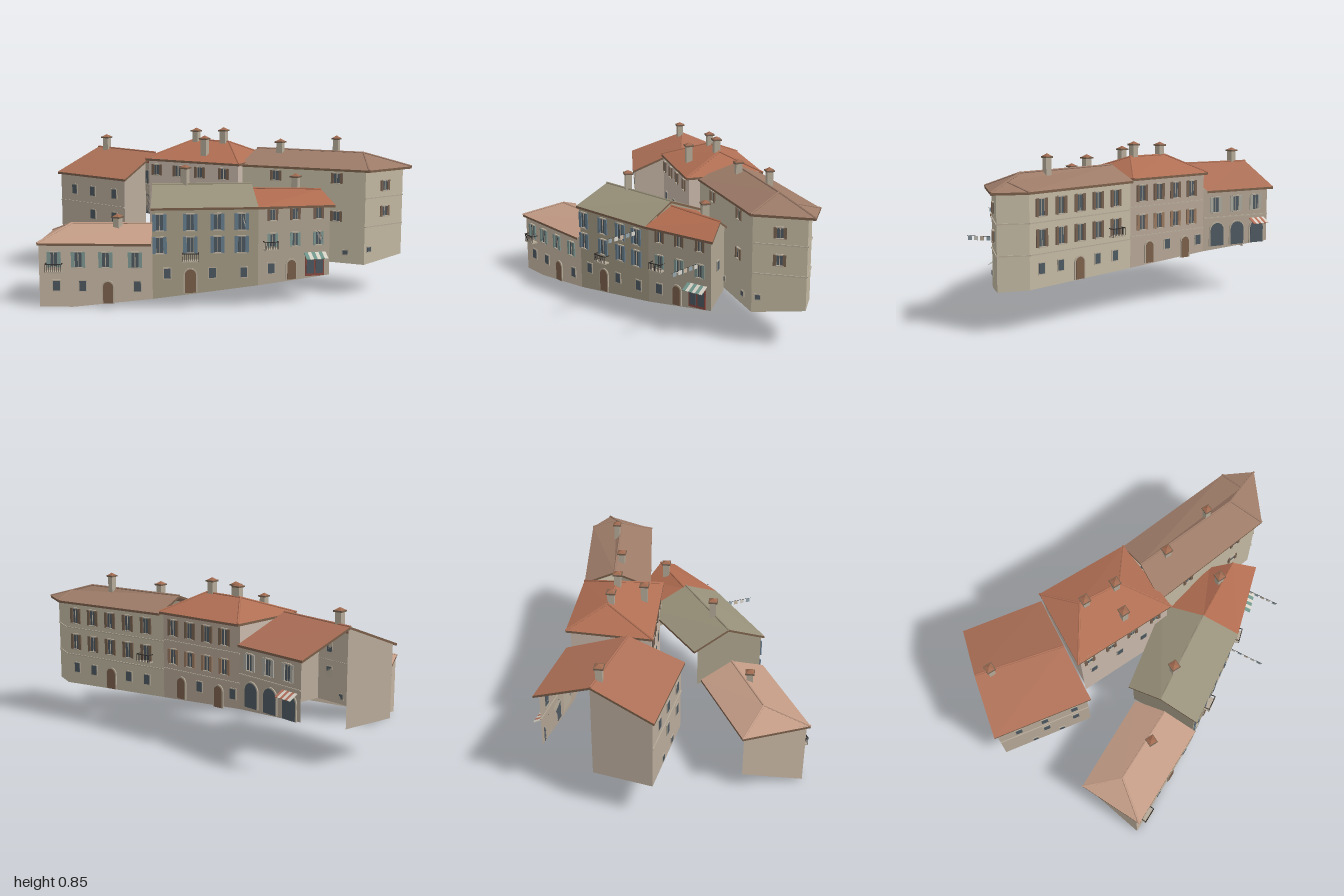
import * as THREE from 'three';

const mats = {};
const mat = (c) => (mats[c] ??= new THREE.MeshStandardMaterial({ color: c, side: THREE.DoubleSide, flatShading: true }));
const WOOD = 0x7a5f4a, GLASS = 0x4d5860, STONE = 0xb5aa98, IRON = 0x33302e, TEAL = 0x7f9792, BLUE = 0x667b8c, BROWN = 0x75604f;

function add(parent, name, geo, color, x = 0, y = 0, z = 0) {
  const m = new THREE.Mesh(geo, mat(color));
  m.name = name;
  m.position.set(x, y, z);
  parent.add(m);
  return m;
}
const box = (parent, name, color, w, h, d, x, y, z) => add(parent, name, new THREE.BoxGeometry(w, h, d), color, x, y, z);

// Triangulates flat polygons given as lists of [x, y, z]
function polyGeo(polys) {
  const pos = [];
  for (const p of polys) for (let i = 1; i < p.length - 1; i++) pos.push(...p[0], ...p[i], ...p[i + 1]);
  const g = new THREE.BufferGeometry();
  g.setAttribute('position', new THREE.Float32BufferAttribute(pos, 3));
  g.computeVertexNormals();
  return g;
}

// Wall strip along points [x, z, bottom, top], outside on the right of travel
function walls(parent, name, color, path) {
  const quads = path.slice(1).map((q, i) => {
    const p = path[i];
    return [[p[0], p[2], p[1]], [q[0], q[2], q[1]], [q[0], q[3], q[1]], [p[0], p[3], p[1]]];
  });
  add(parent, name, polyGeo(quads), color);
}

function rod(parent, name, color, a, b, r) {
  const A = new THREE.Vector3(...a), B = new THREE.Vector3(...b);
  const m = add(parent, name, new THREE.CylinderGeometry(r, r, A.distanceTo(B), 6), color);
  m.position.copy(A).add(B).multiplyScalar(0.5);
  m.quaternion.setFromUnitVectors(new THREE.Vector3(0, 1, 0), B.sub(A).normalize());
}

// Roof: named points, faces as strings of point names, ridge caps and eave edges
function roof(parent, color, pts, faces, ridges, eaves) {
  const polys = faces.map((f) => {
    const p = [...f].map((k) => pts[k]);
    const [a, b, c] = p.map((v) => new THREE.Vector3(...v));
    return b.sub(a).cross(c.sub(a)).y < 0 ? p.reverse() : p;
  });
  add(parent, 'roof', polyGeo(polys), color);
  for (const [a, b] of ridges) rod(parent, 'ridgeTiles', color, pts[a], pts[b], 0.006);
  for (const [a, b] of eaves) {
    const [p, q] = [pts[a], pts[b]];
    add(parent, 'eaveEdge', polyGeo([[[p[0], p[1] - 0.012, p[2]], [q[0], q[1] - 0.012, q[2]], q, p]]), WOOD);
  }
}

function chimney(parent, x, z, bottom, top, w = 0.034) {
  const g = new THREE.Group();
  g.name = 'chimney';
  g.position.set(x, 0, z);
  g.rotation.y = -0.25;
  box(g, 'chimneyStack', STONE, w, top - bottom - 0.02, w, 0, (top + bottom - 0.02) / 2, 0);
  box(g, 'chimneyCap', BROWN, w * 1.4, 0.008, w * 1.4, 0, top - 0.018, 0);
  add(g, 'chimneyHood', new THREE.ConeGeometry(w * 0.85, 0.014, 4), 0xa06a50, 0, top - 0.007, 0).rotation.y = Math.PI / 4;
  parent.add(g);
}

// Group on the wall p-q at world x; local z faces outward
function spot(parent, name, [p, q], x, y) {
  const g = new THREE.Group(), t = (x - p[0]) / (q[0] - p[0]);
  g.name = name;
  g.position.set(x, y, p[1] + t * (q[1] - p[1]));
  g.rotation.y = Math.atan2(p[1] - q[1], q[0] - p[0]);
  parent.add(g);
  return g;
}

function shuttered(parent, wall, xs, y, color, w = 0.034, h = 0.08) {
  for (const x of xs) {
    const g = spot(parent, 'window', wall, x, y);
    box(g, 'pane', GLASS, w, h, 0.006, 0, 0, 0.001);
    box(g, 'mullion', STONE, 0.003, h, 0.008, 0, 0, 0.002);
    box(g, 'lintel', STONE, w + 0.008, 0.006, 0.014, 0, h / 2, 0.003);
    box(g, 'sill', STONE, w + 0.012, 0.006, 0.018, 0, -h / 2, 0.004);
    for (const s of [-1, 1]) box(g, 'shutter', color, w * 0.52, h, 0.006, s * w * 0.78, 0, 0.007);
  }
}

function plain(parent, wall, xs, y, w = 0.034, h = 0.05) {
  for (const x of xs) {
    const g = spot(parent, 'smallWindow', wall, x, y);
    box(g, 'surround', STONE, w + 0.01, h + 0.01, 0.006, 0, 0, 0.001);
    box(g, 'pane', GLASS, w, h, 0.008, 0, 0, 0.002);
  }
}

// Round-headed doorway or arcade opening, y is its foot
function archShape(w, h) {
  const s = new THREE.Shape();
  s.moveTo(-w / 2, 0).lineTo(w / 2, 0).lineTo(w / 2, h - w / 2);
  s.absarc(0, h - w / 2, w / 2, 0, Math.PI, false);
  return s;
}
function doorway(parent, wall, xs, y, w, h, color) {
  for (const x of xs) {
    const g = spot(parent, 'doorway', wall, x, y);
    const ext = (d) => ({ depth: d, bevelEnabled: false, curveSegments: 6 });
    add(g, 'doorSurround', new THREE.ExtrudeGeometry(archShape(w + 0.014, h + 0.007), ext(0.006)), STONE);
    add(g, 'doorLeaf', new THREE.ExtrudeGeometry(archShape(w, h), ext(0.008)), color);
  }
}

function balcony(parent, wall, x, y, w = 0.08) {
  const g = spot(parent, 'balcony', wall, x, y);
  box(g, 'balconySlab', STONE, w, 0.007, 0.036, 0, 0, 0.018);
  box(g, 'frontRail', IRON, w, 0.004, 0.004, 0, 0.04, 0.034);
  for (const s of [-1, 1]) box(g, 'sideRail', IRON, 0.004, 0.004, 0.034, s * w / 2, 0.04, 0.017);
  for (let i = 0; i <= 8; i++) box(g, 'baluster', IRON, 0.002, 0.04, 0.002, (i / 8 - 0.5) * w, 0.02, 0.034);
}

function awning(parent, wall, x, y, w, color) {
  const g = spot(parent, 'awning', wall, x, y);
  for (let i = 0; i < 6; i++) {
    const m = box(g, 'awningStripe', i % 2 ? 0xd8d2c6 : color, w / 6, 0.004, 0.055, (i - 2.5) * w / 6, -0.012, 0.026);
    m.rotation.x = 0.5;
  }
}

function band(parent, wall, y) {
  const [p, q] = wall, g = spot(parent, 'stringCourse', wall, (p[0] + q[0]) / 2, y);
  box(g, 'band', STONE, Math.hypot(q[0] - p[0], q[1] - p[1]), 0.006, 0.008, 0, 0, 0.001);
}

function laundry(parent, a, b, n) {
  rod(parent, 'clothesLine', IRON, a, b, 0.001);
  for (let i = 0; i < n; i++) {
    const t = (i + 0.5) / n, p = a.map((v, k) => v + (b[k] - v) * t);
    const m = box(parent, 'cloth', [0xd8d5cc, 0x93a5ad, 0xc9b8a4][i % 3], 0.022, 0.022, 0.002, p[0], p[1] - 0.011, p[2]);
    m.rotation.y = Math.atan2(a[2] - b[2], b[0] - a[0]);
  }
}

export function createModel() {
  const root = new THREE.Group();
  root.name = 'villageHouses';
  const house = (name) => {
    const g = new THREE.Group();
    g.name = name;
    root.add(g);
    return g;
  };

  // Back row, left house
  let h = house('backLeftHouse');
  walls(h, 'frontWalls', 0xb9ab9b, [[-0.84, -0.41, 0.2, 0.69], [-0.98, -0.14, 0.2, 0.58], [-0.53, 0.06, 0.2, 0.58], [-0.46, -0.1, 0.2, 0.66]]);
  walls(h, 'backWall', 0xb0a292, [[-0.31, -0.465, 0.25, 0.585], [-0.695, -0.64, 0.28, 0.585]]);
  roof(h, 0xac6f56, { a: [-0.71, 0.58, -0.67], b: [-0.31, 0.58, -0.49], c: [-0.52, 0.58, 0.08], d: [-1, 0.58, -0.135], r: [-0.85, 0.7, -0.41], s: [-0.43, 0.7, -0.19] },
    ['absr', 'rscd'], ['rs'], ['ab', 'cd', 'dr', 'ra', 'sc']);
  chimney(h, -0.78, -0.36, 0.66, 0.78);
  let f = [[-0.98, -0.14], [-0.53, 0.06]], k = [[-0.31, -0.465], [-0.695, -0.64]];
  plain(h, f, [-0.88, -0.75, -0.6], 0.49);
  plain(h, f, [-0.82, -0.68], 0.24, 0.026, 0.026);
  plain(h, f, [-0.75, -0.6], 0.36);
  shuttered(h, k, [-0.38, -0.5, -0.62], 0.5, 0xa9a79d, 0.036, 0.085);
  doorway(h, k, [-0.39, -0.51, -0.63], 0.275, 0.085, 0.125, GLASS);
  awning(h, k, -0.63, 0.41, 0.1, 0xb5705c);
  band(h, k, 0.43);
  band(h, f, 0.42);

  // Back row, middle house
  h = house('backMiddleHouse');
  walls(h, 'sideAndFrontWalls', 0xc9b8ab, [[-0.31, -0.465, 0.5, 0.685], [-0.43, -0.075, 0.3, 0.685], [0.1, 0.04, 0.18, 0.685], [0.18, -0.335, 0.4, 0.685]]);
  walls(h, 'backWall', 0xb5a594, [[0.18, -0.335, 0.22, 0.685], [-0.31, -0.465, 0.25, 0.685]]);
  walls(h, 'frontLowerWall', 0xc9b8ab, [[-0.43, -0.075, 0.19, 0.31], [0.1, 0.04, 0.18, 0.31]]);
  roof(h, 0xb06f54, { a: [-0.31, 0.68, -0.49], b: [0.19, 0.68, -0.36], c: [0.11, 0.68, 0.06], d: [-0.45, 0.68, -0.07], r: [-0.225, 0.77, -0.27], s: [-0.005, 0.77, -0.2] },
    ['absr', 'rscd', 'adr', 'bcs'], ['rs', 'ar', 'dr', 'bs', 'cs'], ['ab', 'bc', 'cd', 'da']);
  chimney(h, -0.205, -0.25, 0.74, 0.84);
  chimney(h, -0.035, -0.2, 0.74, 0.85);
  chimney(h, -0.11, -0.07, 0.68, 0.815);
  f = [[-0.43, -0.075], [0.1, 0.04]]; k = [[0.18, -0.335], [-0.31, -0.465]];
  shuttered(h, f, [-0.38, -0.25, -0.12, 0.02], 0.62, BROWN, 0.03, 0.06);
  plain(h, f, [-0.36, -0.2, -0.05], 0.45);
  shuttered(h, k, [0.11, 0, -0.11, -0.22], 0.6, BROWN, 0.034, 0.085);
  shuttered(h, k, [0.11, 0, -0.11, -0.22], 0.45, 0x97785f, 0.034, 0.08);
  doorway(h, k, [0.06, -0.18], 0.235, 0.05, 0.11, WOOD);
  plain(h, k, [-0.06, -0.27], 0.32);
  for (const y of [0.38, 0.53]) band(h, k, y);

  // Back row, right house with an angled end
  h = house('backRightHouse');
  walls(h, 'outerWalls', 0xc2b8a1, [[0.11, -0.02, 0.18, 0.67], [0.78, 0.06, 0.17, 0.67], [0.955, -0.135, 0.2, 0.67], [0.84, -0.235, 0.205, 0.67], [0.18, -0.335, 0.22, 0.67]]);
  roof(h, 0x9d7b68, { a: [0.19, 0.67, -0.36], b: [0.87, 0.67, -0.26], c: [1, 0.67, -0.145], d: [0.8, 0.67, 0.085], e: [0.1, 0.67, -0.01], r: [0.155, 0.74, -0.2], s: [0.75, 0.74, -0.1], t: [0.865, 0.708, -0.122] },
    ['abtsr', 'bct', 'cdst', 'ders'], ['rs', 'st', 'tc', 'tb', 'sd'], ['ab', 'bc', 'cd', 'de', 'ar', 're']);
  chimney(h, 0.295, -0.145, 0.71, 0.8);
  chimney(h, 0.6, -0.14, 0.71, 0.825, 0.03);
  f = [[0.11, -0.02], [0.78, 0.06]]; k = [[0.84, -0.235], [0.18, -0.335]];
  const end = [[0.78, 0.06], [0.955, -0.135]], xs = [0.77, 0.65, 0.53, 0.41, 0.29];
  shuttered(h, f, [0.3, 0.63], 0.62, BROWN, 0.03, 0.055);
  shuttered(h, f, [0.63], 0.42, BROWN, 0.03, 0.055);
  plain(h, f, [0.68, 0.45], 0.23, 0.026, 0.022);
  for (const y of [0.58, 0.445]) shuttered(h, end, [0.868], y, BROWN, 0.03, 0.055);
  plain(h, end, [0.8], 0.25, 0.024, 0.022);
  shuttered(h, k, xs, 0.59, BROWN, 0.034, 0.085);
  shuttered(h, k, xs, 0.445, BROWN, 0.034, 0.085);
  doorway(h, k, [0.53], 0.215, 0.055, 0.11, WOOD);
  plain(h, k, [0.77, 0.65, 0.41, 0.29], 0.3);
  balcony(h, k, 0.29, 0.4);
  for (const y of [0.37, 0.52]) [k, end, [[0.955, -0.135], [0.84, -0.235]]].forEach((w) => band(h, w, y));

  // Front row, left house
  h = house('frontLeftHouse');
  walls(h, 'walls', 0xc4b4a1, [[-0.805, 0.33, 0.08, 0.335], [-0.785, 0.645, 0, 0.335], [-0.62, 0.61, 0, 0.335], [-0.225, 0.53, 0.045, 0.335]]);
  roof(h, 0xc29b85, { a: [-0.845, 0.33, 0.315], b: [-0.32, 0.33, 0.2], c: [-0.225, 0.33, 0.55], d: [-0.785, 0.33, 0.665], r: [-0.68, 0.4, 0.45], s: [-0.27, 0.4, 0.37] },
    ['absr', 'rscd', 'adr'], ['rs', 'ar', 'dr'], ['ab', 'cd', 'da']);
  chimney(h, -0.44, 0.43, 0.37, 0.455);
  f = [[-0.785, 0.645], [-0.225, 0.53]];
  shuttered(h, f, [-0.71, -0.59, -0.455, -0.31], 0.245, TEAL, 0.034, 0.08);
  balcony(h, f, -0.71, 0.185);
  plain(h, f, [-0.7, -0.57, -0.3], 0.11);
  doorway(h, f, [-0.445], 0.022, 0.05, 0.11, WOOD);

  // Front row, middle house
  h = house('frontMiddleHouse');
  walls(h, 'frontWall', 0xa59c86, [[-0.225, 0.53, 0.045, 0.515], [0.28, 0.365, 0.105, 0.515]]);
  walls(h, 'leftGable', 0xa59c86, [[-0.31, 0.18, 0.3, 0.51], [-0.27, 0.345, 0.3, 0.595], [-0.225, 0.53, 0.045, 0.515]]);
  walls(h, 'rightGable', 0xa59c86, [[0.28, 0.365, 0.4, 0.515], [0.205, 0.2, 0.4, 0.595], [0.14, 0, 0.4, 0.515]]);
  roof(h, 0x98917a, { a: [-0.325, 0.51, 0.16], b: [0.135, 0.51, -0.02], c: [0.285, 0.51, 0.385], d: [-0.225, 0.51, 0.55], r: [-0.28, 0.6, 0.345], s: [0.21, 0.6, 0.2] },
    ['absr', 'rscd'], ['rs'], ['ab', 'cd', 'dr', 'ra', 'bs', 'sc']);
  chimney(h, -0.12, 0.29, 0.57, 0.7);
  f = [[-0.225, 0.53], [0.28, 0.365]];
  shuttered(h, f, [-0.19, -0.045, 0.085, 0.2], 0.435, BLUE, 0.034, 0.085);
  shuttered(h, f, [-0.19, -0.045, 0.085, 0.2], 0.32, BLUE, 0.034, 0.085);
  balcony(h, f, -0.045, 0.24);
  plain(h, f, [-0.155, 0.06, 0.21], 0.175);
  doorway(h, f, [-0.045], 0.075, 0.055, 0.12, WOOD);

  // Front row, right house with a shop
  h = house('frontRightHouse');
  walls(h, 'walls', 0xb0a592, [[0.28, 0.365, 0.105, 0.51], [0.615, 0.19, 0.14, 0.51], [0.535, 0.11, 0.155, 0.57], [0.46, 0.03, 0.17, 0.51]]);
  roof(h, 0xb06c50, { a: [0.14, 0.51, 0.02], b: [0.47, 0.505, 0.015], c: [0.645, 0.505, 0.2], d: [0.285, 0.51, 0.385], r: [0.21, 0.575, 0.2], s: [0.555, 0.57, 0.107] },
    ['absr', 'rscd'], ['rs'], ['ab', 'cd', 'bs', 'sc']);
  chimney(h, 0.425, 0.12, 0.55, 0.65);
  f = [[0.28, 0.365], [0.615, 0.19]];
  shuttered(h, f, [0.345, 0.45, 0.56], 0.465, BROWN, 0.026, 0.06);
  shuttered(h, f, [0.345, 0.45, 0.56], 0.335, TEAL, 0.026, 0.07);
  balcony(h, f, 0.335, 0.29, 0.07);
  plain(h, f, [0.34], 0.19);
  doorway(h, f, [0.435], 0.128, 0.045, 0.1, WOOD);
  const shop = spot(h, 'shopFront', f, 0.545, 0.19);
  box(shop, 'shopFrame', 0x8a4a42, 0.1, 0.1, 0.008, 0, 0, 0.002);
  for (const s of [-1, 1]) box(shop, 'shopPane', GLASS, 0.038, 0.075, 0.01, s * 0.024, 0, 0.003);
  awning(h, f, 0.545, 0.26, 0.115, 0x6f958a);
  plain(h, [[0.615, 0.19], [0.46, 0.03]], [0.54], 0.34, 0.03, 0.045);

  // Washing lines
  laundry(root, [0.21, 0.47, 0.4], [0.26, 0.465, 0.58], 5);
  laundry(root, [0.56, 0.375, 0.23], [0.61, 0.37, 0.4], 5);
  return root;
}
